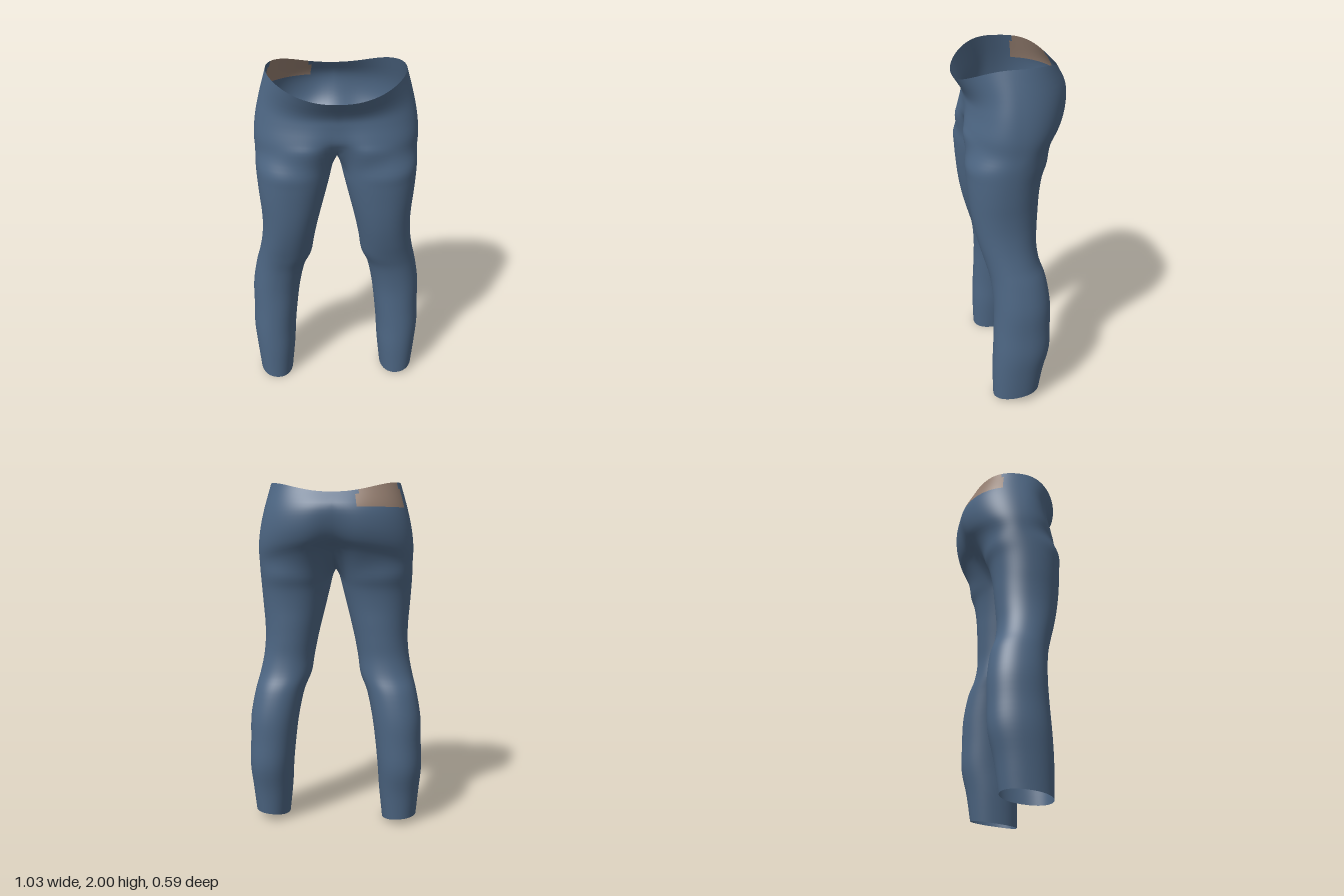
import * as THREE from 'three';
import { mergeVertices } from 'three/addons/utils/BufferGeometryUtils.js';

// Leg sections: height, inner x, outer x, front z, back z
const LEG = [
  [0.03, 0.285, 0.49, 0.16, -0.115], [0.2, 0.265, 0.505, 0.163, -0.14],
  [0.35, 0.255, 0.517, 0.157, -0.173], [0.5, 0.24, 0.511, 0.15, -0.176],
  [0.65, 0.22, 0.506, 0.147, -0.175], [0.8, 0.188, 0.48, 0.16, -0.153],
  [0.9, 0.148, 0.455, 0.185, -0.12], [1.0, 0.132, 0.435, 0.213, -0.106],
  [1.1, 0.113, 0.425, 0.236, -0.109], [1.2, 0.09, 0.426, 0.252, -0.115],
  [1.3, 0.065, 0.434, 0.262, -0.122], [1.4, 0.04, 0.441, 0.269, -0.138],
  [1.48, 0.02, 0.445, 0.27, -0.165],
];
// Hip sections: height at front, side, back; half width; front z; back z; front and back cleft
const HIP = [
  [1.6, 1.56, 1.62, 0.445, 0.285, -0.225, 0.28, 0.25],
  [1.66, 1.65, 1.69, 0.447, 0.268, -0.275, 0.12, 0.13],
  [1.74, 1.75, 1.77, 0.435, 0.245, -0.3, 0.03, 0.07],
  [1.8, 1.86, 1.86, 0.41, 0.245, -0.297, 0, 0.02],
  [1.89, 1.998, 1.94, 0.37, 0.3, -0.25, 0, 0],
];
const OUT = 56, INN = 16, SUB = 4; // columns outside, columns inside, steps per section
const ARC = Math.PI * 5 / 6;       // the outer part of a leg ring spans +-150 degrees
const pow = (v, e) => Math.sign(v) * Math.abs(v) ** e;

function legPoint(row, a, side) {
  const [y, x0, x1, zf, zb] = LEG[row];
  const c = Math.cos(a), s = Math.sin(a);
  // the hem dips to the front and inside
  const hem = row === 0 ? 0.012 * c - 0.016 * s - (side < 0 ? 0.01 : 0) : 0;
  return new THREE.Vector3(
    (x0 + x1) / 2 + (x1 - x0) / 2 * pow(c, 0.93), y + hem,
    (zf + zb) / 2 + (zf - zb) / 2 * pow(s, 0.93));
}

function hipPoint(row, a) {
  const [yf, ys, yb, w, zf, zb, cf, cb] = HIP[row];
  const c = Math.cos(a), s = Math.sin(a), front = s > 0, zm = 0.02;
  const x = w * pow(Math.max(c, 0), 0.88);
  const cleft = 1 - (front ? cf : cb) * Math.exp(-((x / 0.1) ** 2));
  const y = front ? ys + (yf - ys) * s * s : ys + (yb - ys) * s ** 4;
  const z = zm + (front ? zf - zm : zm - zb) * pow(s, 0.88) * cleft;
  return new THREE.Vector3(x, y, z);
}

// Smooth column of points through its control points
function column(controls) {
  const curve = new THREE.CatmullRomCurve3(controls, false, 'catmullrom', 0.5);
  const points = curve.getPoints((controls.length - 1) * SUB);
  points.forEach(p => { p.x = Math.max(p.x, 0); });
  return points;
}

// Columns of one half: front centre, round the outside, to the back centre, then through the inside
function halfColumns(side) {
  const columns = [];
  for (let j = 0; j <= OUT; j++) {
    const s = 1 - 2 * j / OUT;
    columns.push(column([
      ...LEG.map((_, r) => legPoint(r, s * ARC, side)),
      ...HIP.map((_, r) => hipPoint(r, s * Math.PI / 2)),
    ]));
  }
  const front = hipPoint(0, Math.PI / 2), back = hipPoint(0, -Math.PI / 2);
  for (let k = 1; k < INN; k++) {
    const u = k / INN, a = -ARC - u * (2 * Math.PI - 2 * ARC);
    const crotch = back.clone().lerp(front, u); // saddle between the legs
    crotch.x = 0;
    crotch.y = 1.52 + (crotch.y - 1.52) * (2 * u - 1) ** 2;
    columns.push(column([...LEG.map((_, r) => legPoint(r, a, side)), crotch]));
  }
  return columns;
}

export function createModel() {
  const denim = new THREE.MeshStandardMaterial({ color: 0x4d6683, side: THREE.DoubleSide });
  denim.name = 'denim blue';
  const leather = new THREE.MeshStandardMaterial({ color: 0x927c6e, side: THREE.DoubleSide });
  leather.name = 'patch brown';

  const positions = [], index = [];
  const legSteps = LEG.length * SUB;
  const patchStep = (LEG.length + 3) * SUB;
  for (const side of [1, -1]) {
    const columns = halfColumns(side);
    const starts = columns.map(col => {
      const start = positions.length / 3;
      col.forEach(p => positions.push(side * p.x, p.y, p.z));
      return start;
    });
    columns.forEach((col, j) => {
      const next = (j + 1) % columns.length;
      const steps = j < OUT ? col.length - 1 : legSteps;
      for (let i = 0; i < steps; i++) {
        const a = starts[j] + i, b = starts[next] + i;
        if (side > 0) index.push(a, b, b + 1, a, b + 1, a + 1);
        else index.push(a, b + 1, b, a, a + 1, b + 1);
      }
    });
  }
  let geometry = new THREE.BufferGeometry();
  geometry.setAttribute('position', new THREE.Float32BufferAttribute(positions, 3));
  geometry.setIndex(index);
  geometry = mergeVertices(geometry, 1e-5);
  geometry.computeVertexNormals();

  // The patch takes the cells at the back of the right waist
  const cloth = [], patch = [];
  const all = geometry.index.array, pos = geometry.attributes.position;
  const isPatch = q => {
    const ids = [q, q + 1, q + 2, q + 4, q + 5].map(n => all[n]);
    const mean = get => ids.reduce((sum, v) => sum + get(v), 0) / ids.length;
    const x = mean(v => pos.getX(v)), z = mean(v => pos.getZ(v));
    return x < -0.13 && z < -0.095;
  };
  let q = 0;
  for (let half = 0; half < 2; half++) {
    for (let j = 0; j < OUT + INN; j++) {
      const steps = j < OUT ? (LEG.length + HIP.length - 1) * SUB : legSteps;
      for (let i = 0; i < steps; i++, q += 6) {
        const target = half === 1 && j < OUT && i >= patchStep && isPatch(q) ? patch : cloth;
        target.push(...all.slice(q, q + 6));
      }
    }
  }

  const group = new THREE.Group();
  group.name = 'trousers';
  const addPart = (name, faces, material) => {
    const part = new THREE.BufferGeometry();
    part.setAttribute('position', geometry.attributes.position);
    part.setAttribute('normal', geometry.attributes.normal);
    part.setIndex(faces);
    const mesh = new THREE.Mesh(part, material);
    mesh.name = name;
    group.add(mesh);
  };
  addPart('legsAndHips', cloth, denim);
  addPart('waistPatch', patch, leather);
  return group;
}
